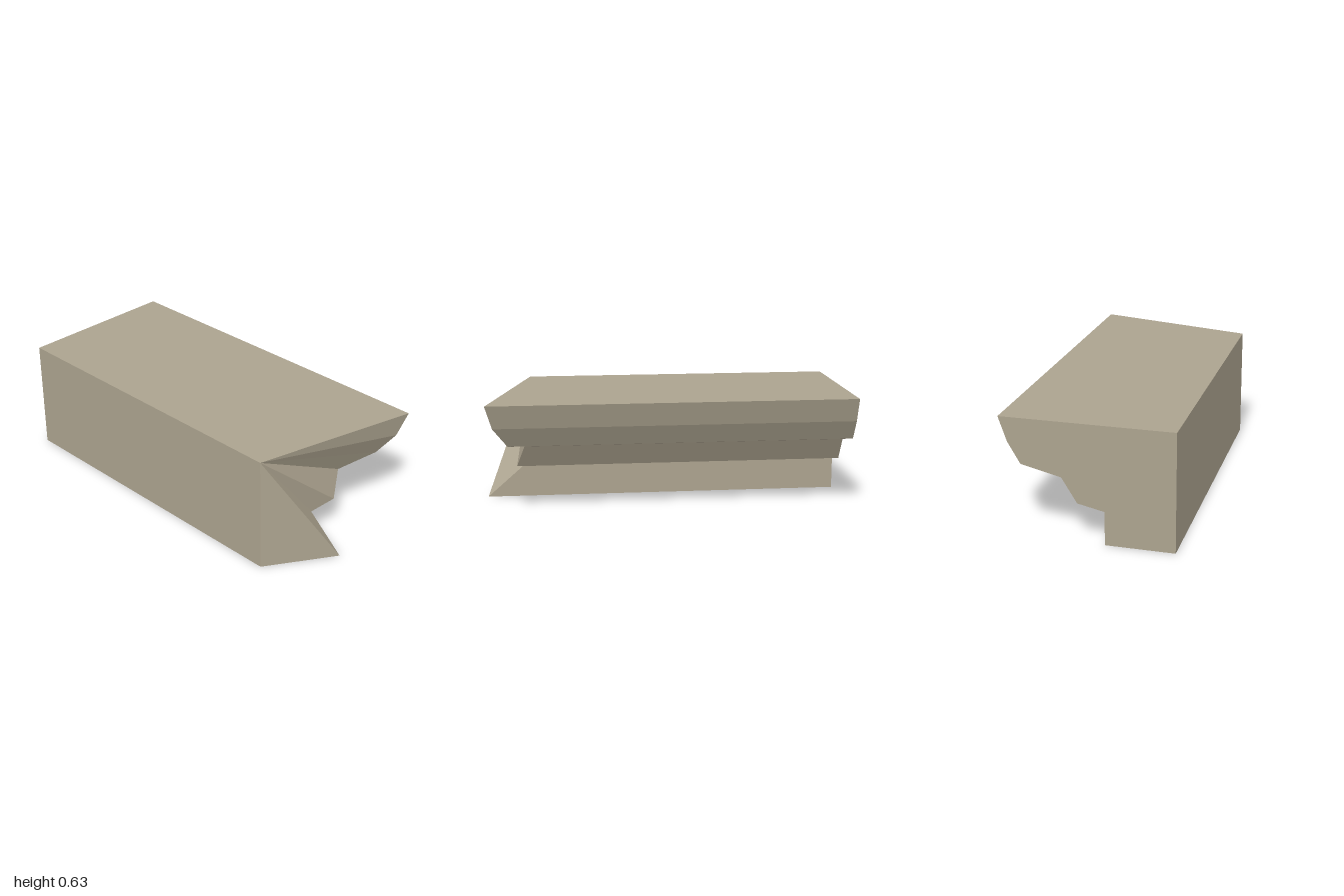
import * as THREE from 'three';

// Moulding cross-section: [z, y, x of the cut end], clockwise from the top front corner
const PROFILE = [
  [0.45, 0.63, 0.75],
  [-0.45, 0.63, 0.98],
  [-0.405, 0.5, 0.945],
  [-0.34, 0.39, 0.87],
  [-0.13, 0.34, 0.785],
  [-0.05, 0.21, 0.83],
  [0.09, 0.18, 0.795],
  [0.09, 0, 1],
  [0.45, 0, 0.77],
];
const SQUARE_END = -1;

function meshFrom(name, triangles, material) {
  const geometry = new THREE.BufferGeometry();
  geometry.setAttribute('position', new THREE.Float32BufferAttribute(triangles.flat(2), 3));
  geometry.computeVertexNormals();
  const mesh = new THREE.Mesh(geometry, material);
  mesh.name = name;
  return mesh;
}

export function createModel() {
  const group = new THREE.Group();
  group.name = 'corniceBlock';
  const stone = new THREE.MeshStandardMaterial({ color: 0xaca38f });
  stone.name = 'stone';

  const left = PROFILE.map(([z, y]) => [SQUARE_END, y, z]);
  const right = PROFILE.map(([z, y, x]) => [x, y, z]);
  const n = PROFILE.length;

  // Long faces running between the two ends
  const sides = [];
  for (let i = 0; i < n; i++) {
    const j = (i + 1) % n;
    sides.push([left[i], right[i], right[j]], [left[i], right[j], left[j]]);
  }
  // Ends, fanned from the top front corner
  const squareEnd = [], cutEnd = [];
  for (let i = 1; i < n - 1; i++) {
    squareEnd.push([left[0], left[i], left[i + 1]]);
    cutEnd.push([right[0], right[i + 1], right[i]]);
  }

  group.add(
    meshFrom('mouldingFaces', sides, stone),
    meshFrom('squareEnd', squareEnd, stone),
    meshFrom('cutEnd', cutEnd, stone),
  );
  return group;
}
